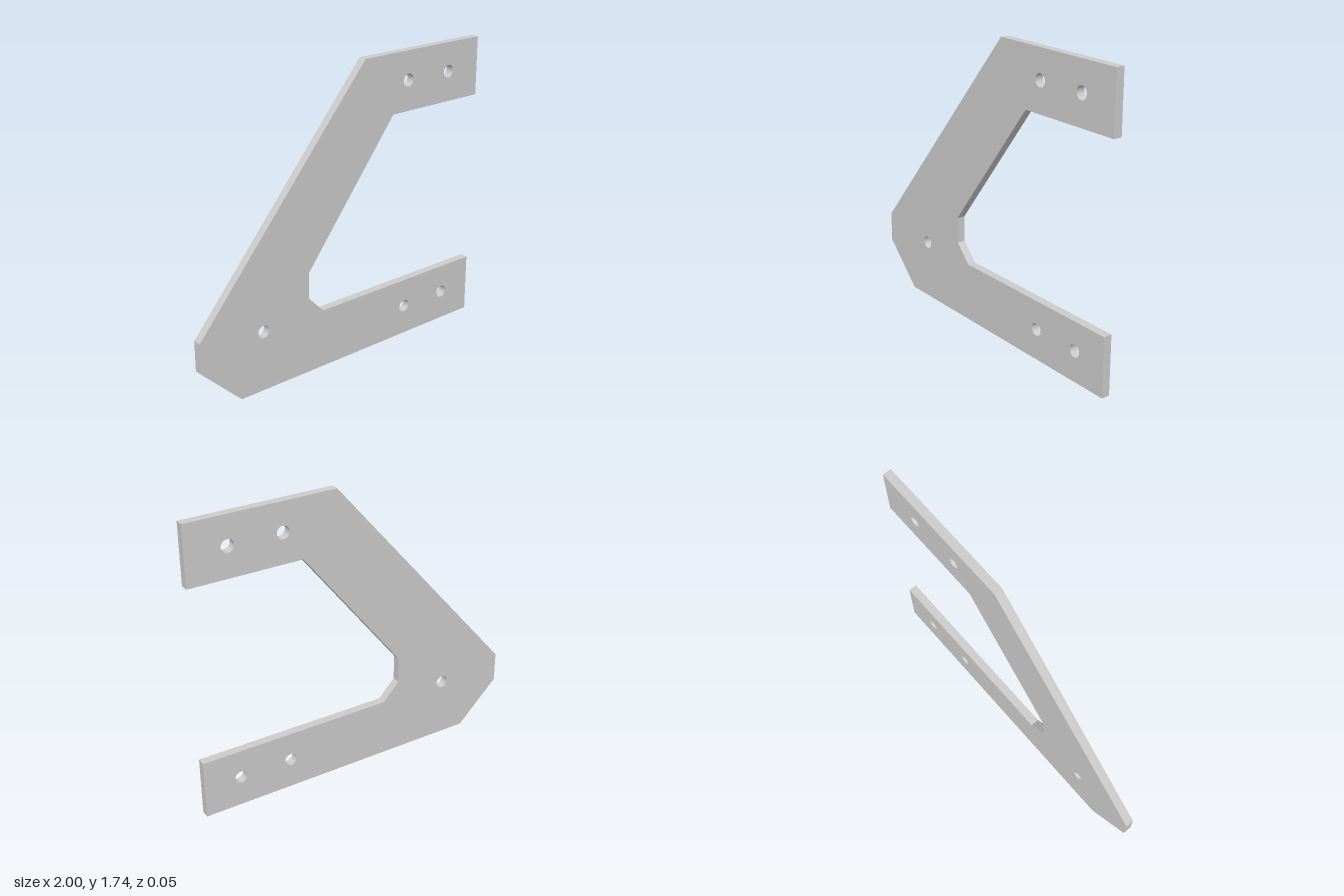
import * as THREE from 'three';

const THICKNESS = 0.05;
const HOLE_RADIUS = 0.037;

// Outline of the C-shaped bracket, counter-clockwise from the lower left
const OUTLINE = [
  [-0.75, 0], [0.985, 0], [0.985, 0.35], [-0.175, 0.35],   // lower arm
  [-0.276, 0.455], [-0.276, 0.608],                        // inner throat
  [0.339, 1.393], [1, 1.393], [1, 1.74], [0.13, 1.74],     // upper arm
  [-1, 0.42], [-1, 0.243],                                 // slanted back and chamfer
];

// Bolt holes: two in each arm, one pivot hole near the corner
const HOLES = [[0.452, 1.57], [0.765, 1.57], [0.452, 0.18], [0.765, 0.18], [-0.591, 0.354]];

export function createModel() {
  const shape = new THREE.Shape(OUTLINE.map(([x, y]) => new THREE.Vector2(x, y)));
  for (const [x, y] of HOLES) {
    const hole = new THREE.Path();
    hole.absarc(x, y, HOLE_RADIUS, 0, Math.PI * 2, true);
    shape.holes.push(hole);
  }

  const geometry = new THREE.ExtrudeGeometry(shape, {
    depth: THICKNESS, bevelEnabled: false, curveSegments: 32,
  });
  geometry.translate(0, 0, -THICKNESS / 2);

  const plate = new THREE.Mesh(geometry, new THREE.MeshStandardMaterial({ color: 0xcccccc }));
  plate.name = 'bracketPlate';

  const model = new THREE.Group();
  model.name = 'bracket';
  model.add(plate);
  return model;
}
